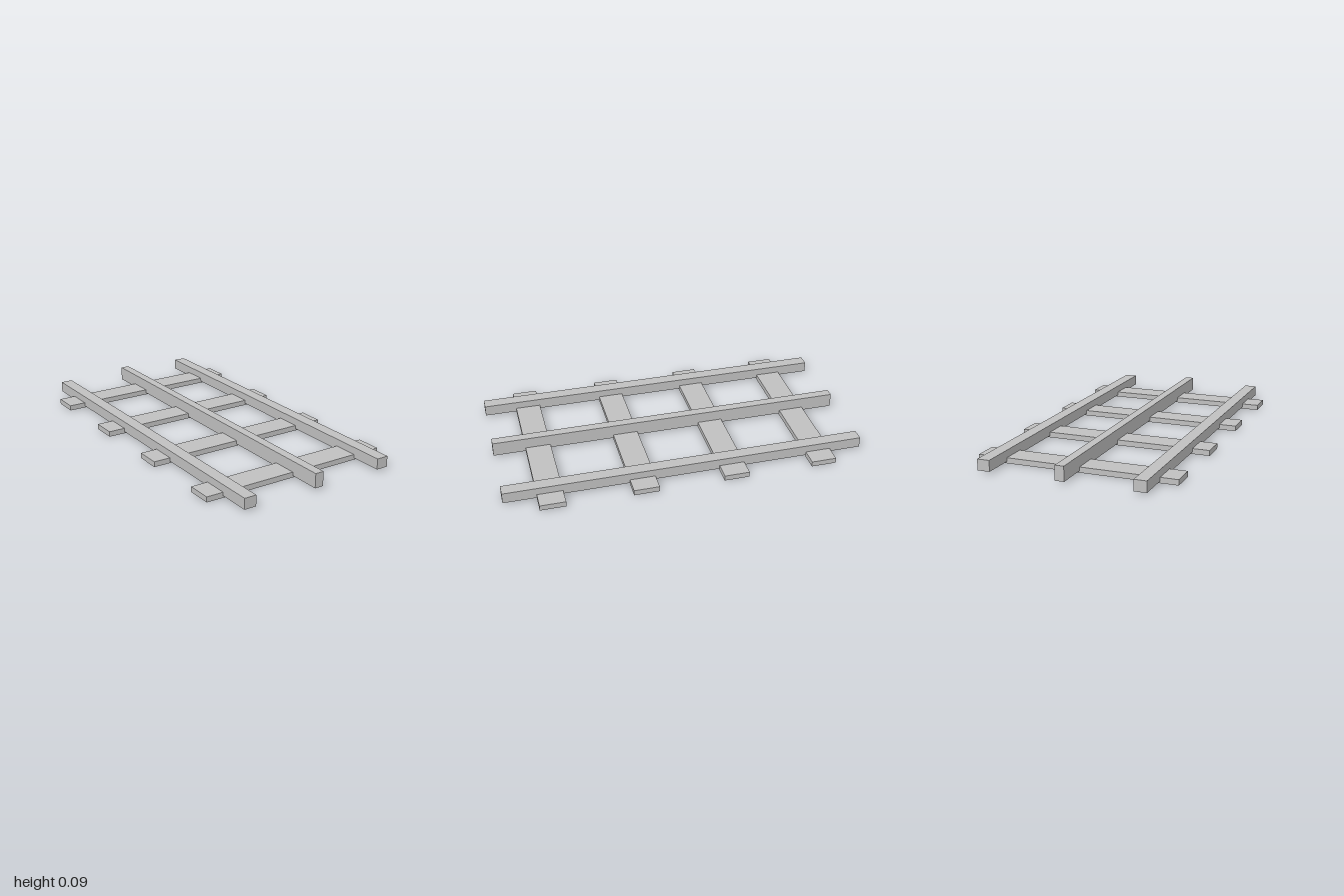
import * as THREE from 'three';

export function createModel() {
  const track = new THREE.Group();
  track.name = 'railTrack';

  const grey = new THREE.MeshStandardMaterial({ color: 0xc0c0c0 });
  grey.name = 'light grey';

  // A beam given by its size, its centre on the ground plane and its underside
  function addBeam(name, width, height, depth, x, bottom, z) {
    const beam = new THREE.Mesh(new THREE.BoxGeometry(width, height, depth), grey);
    beam.name = name;
    beam.position.set(x, bottom + height / 2, z);
    track.add(beam);
  }

  // Four flat sleepers, evenly spaced along the track
  for (let i = 0; i < 4; i++) {
    addBeam(`sleeper${i + 1}`, 1.1, 0.03, 0.14, 0, 0, -0.75 + i * 0.5);
  }

  // Running rails, sunk slightly into the sleepers
  addBeam('leftRail', 0.068, 0.06, 2, 0.42, 0.01, 0);
  addBeam('rightRail', 0.068, 0.06, 2, -0.42, 0.01, 0);

  // Narrower, taller centre rail
  addBeam('centreRail', 0.05, 0.08, 2, 0, 0.01, 0);

  return track;
}
